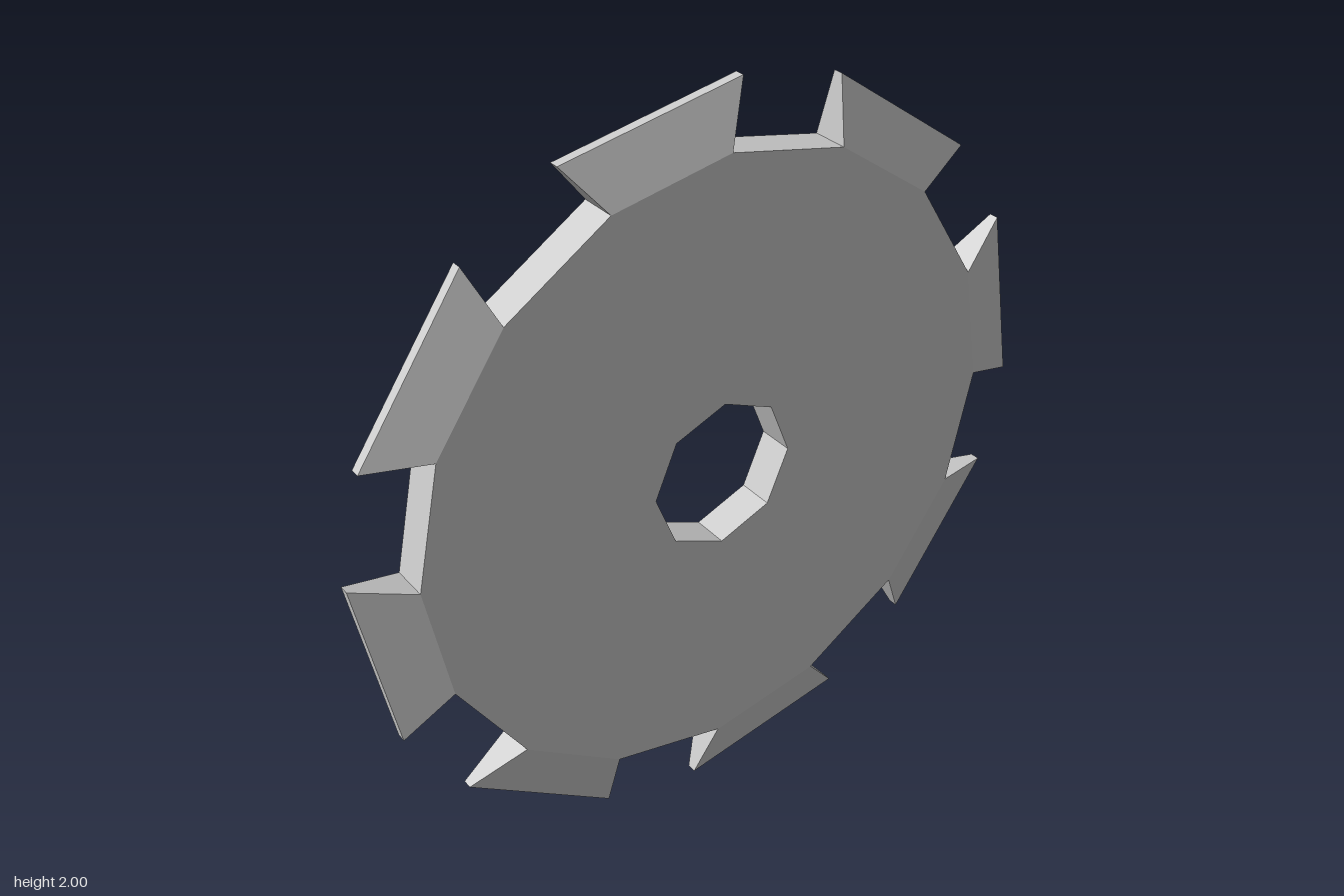
import * as THREE from 'three';

const TEETH = 8;
const RIM = 0.845;          // rim radius of the disc
const TIP = 1.003;          // radius of the tooth corners
const HALF = 0.05;          // half thickness of the disc
const TIP_HALF = 0.013;     // half thickness at the tooth tips
const rad = THREE.MathUtils.degToRad;
const TURN = rad(9.75);     // direction of the first tooth, from upright

// Corners of a regular polygon
function ring(count, radius, start, cx = 0, cy = 0) {
  return Array.from({ length: count }, (_, i) => {
    const a = start + (i / count) * Math.PI * 2;
    return new THREE.Vector2(cx + radius * Math.cos(a), cy + radius * Math.sin(a));
  });
}

// Dovetail tooth: a box flared outward and thinned toward its tip
function toothGeometry() {
  const geo = new THREE.BoxGeometry(1, 1, 1);
  const p = geo.attributes.position;
  for (let i = 0; i < p.count; i++) {
    const outer = p.getY(i) > 0;
    const r = outer ? TIP : RIM;
    const a = Math.sign(p.getX(i)) * rad(outer ? 14.2 : 11.25);
    const w = Math.sign(p.getZ(i)) * (outer ? TIP_HALF : HALF);
    p.setXYZ(i, r * Math.sin(a), r * Math.cos(a), w);
  }
  geo.computeVertexNormals();
  return geo;
}

export function createModel() {
  const material = new THREE.MeshStandardMaterial({ color: 0xcccccc, flatShading: true });
  const blade = new THREE.Group();
  blade.name = 'blade';

  // Sixteen-sided disc with an eight-sided arbor hole
  const shape = new THREE.Shape(ring(TEETH * 2, RIM, rad(88.5)));
  shape.holes.push(new THREE.Path(ring(8, 0.203, rad(88.5), -0.004, -0.004)));
  const discGeo = new THREE.ExtrudeGeometry(shape, { depth: HALF * 2, bevelEnabled: false });
  discGeo.translate(0, 0, -HALF);
  const disc = new THREE.Mesh(discGeo, material);
  disc.name = 'disc';
  blade.add(disc);

  // Teeth on every other side of the disc
  const toothGeo = toothGeometry();
  for (let i = 0; i < TEETH; i++) {
    const tooth = new THREE.Mesh(toothGeo, material);
    tooth.name = 'tooth' + (i + 1);
    tooth.rotation.z = TURN + (i / TEETH) * Math.PI * 2;
    blade.add(tooth);
  }

  // Stand the blade on edge, facing sideways, with a very slight lean
  blade.rotation.y = Math.PI / 2;
  const model = new THREE.Group();
  model.name = 'circularBlade';
  model.add(blade);
  blade.position.y = 1;
  const lean = 0.005;
  blade.rotation.set(0, Math.PI / 2, lean, 'ZYX');
  return model;
}
